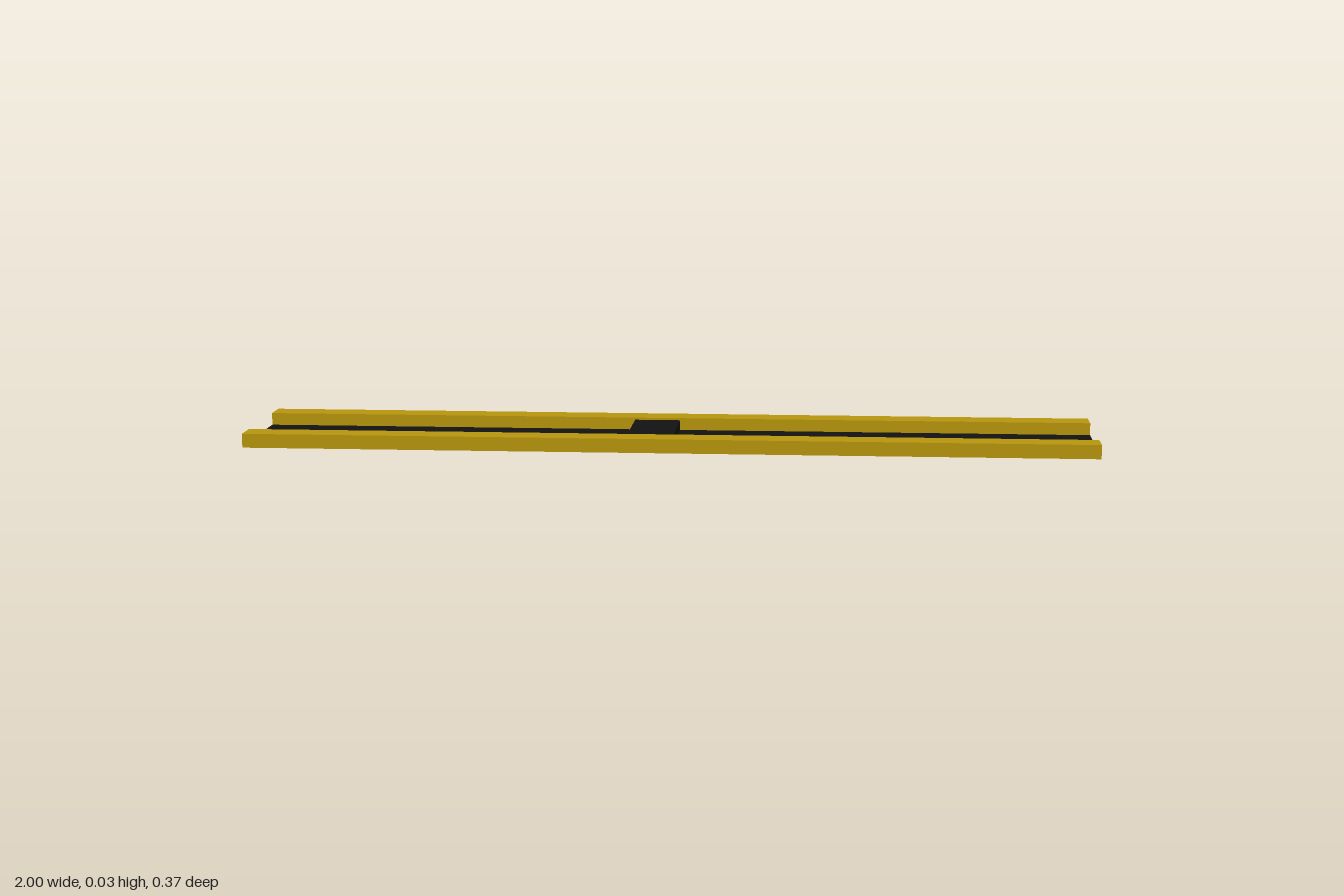
import * as THREE from 'three';

const yellow = new THREE.MeshStandardMaterial({ color: 0xb5940c });
const black = new THREE.MeshStandardMaterial({ color: 0x121212 });

// Box given by its length, height, width, and the centre of its base
function slab(name, material, [length, height, width], [x, y, z]) {
  const mesh = new THREE.Mesh(new THREE.BoxGeometry(length, height, width), material);
  mesh.name = name;
  mesh.position.set(x, y + height / 2, z);
  return mesh;
}

export function createModel() {
  const group = new THREE.Group();
  group.name = 'cableRamp';

  // Side rails along both long edges
  for (const side of [1, -1]) {
    group.add(slab(side > 0 ? 'frontRail' : 'backRail', yellow, [2, 0.033, 0.068], [0, 0, side * 0.151]));
  }

  // Thin channel floor between the rails
  group.add(slab('floor', black, [2, 0.004, 0.234], [0, 0, 0]));

  // Raised cross block near the middle of the channel
  group.add(slab('crossBlock', black, [0.11, 0.024, 0.232], [-0.045, 0.004, 0]));

  return group;
}
